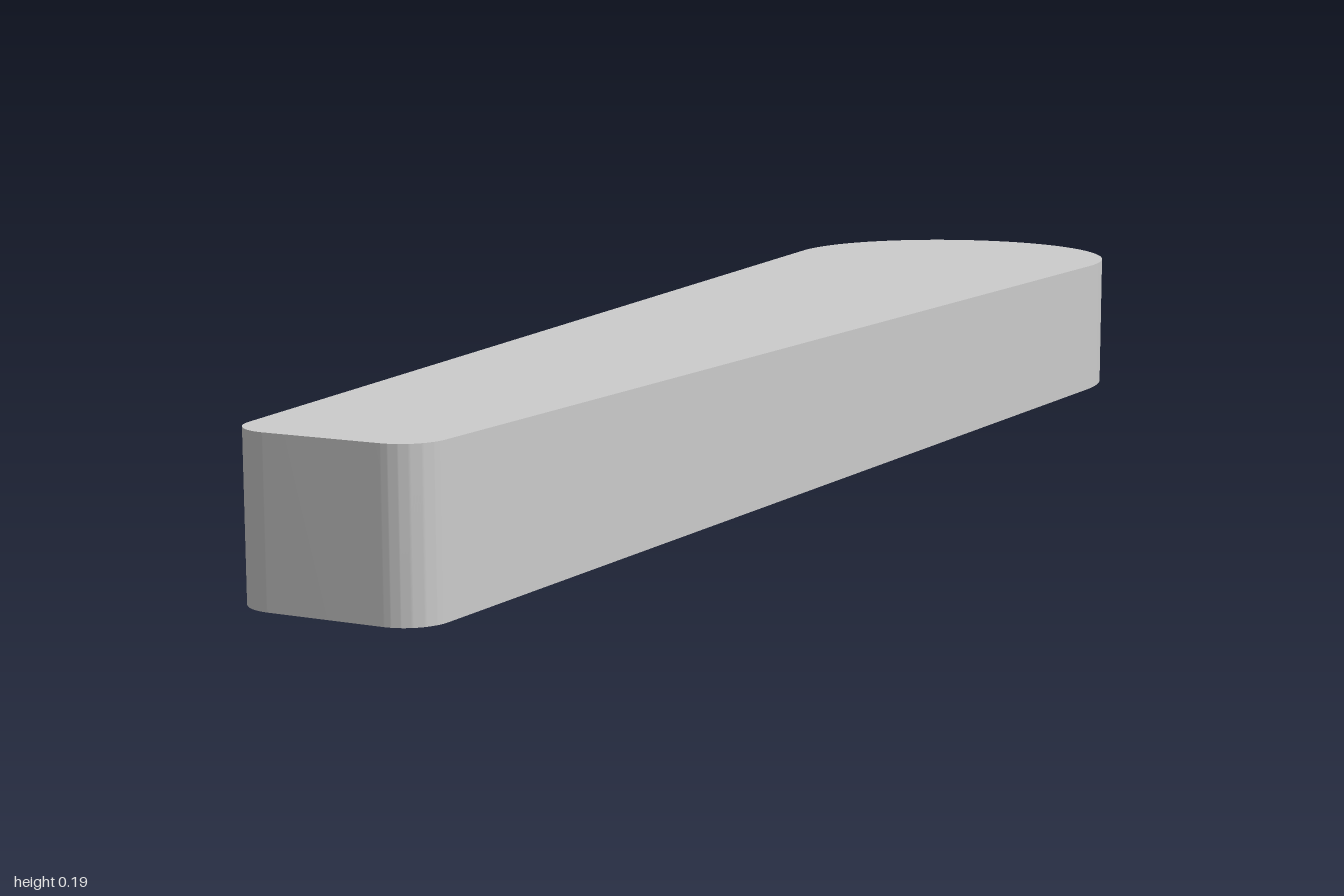
import * as THREE from 'three';
import { toCreasedNormals } from 'three/addons/utils/BufferGeometryUtils.js';

export function createModel() {
  const group = new THREE.Group();
  group.name = 'taperedLever';

  const height = 0.192;
  const backRadius = 0.242;
  const backCentre = 1 - backRadius; // distance behind the origin
  const cornerRadius = 0.05;
  const taper = 0.0707; // angle of each side, radians

  // Corner centre that keeps the front corners tangent to the sides
  const cornerZ = 1 - cornerRadius;
  const cornerX = (backRadius - cornerRadius - (backCentre + cornerZ) * Math.sin(taper)) / Math.cos(taper);

  // Plan outline: round back end, straight sides, small rounded front corners
  const outline = new THREE.Shape();
  outline.absarc(0, backCentre, backRadius, -taper, Math.PI + taper, false);
  outline.absarc(-cornerX, -cornerZ, cornerRadius, Math.PI + taper, Math.PI * 1.5, false);
  outline.absarc(cornerX, -cornerZ, cornerRadius, Math.PI * 1.5, Math.PI * 2 - taper, false);
  outline.closePath();

  // Extrude upwards, with the round end pointing to -z
  const geometry = new THREE.ExtrudeGeometry(outline, {
    depth: height, bevelEnabled: false, curveSegments: 24,
  });
  geometry.rotateX(-Math.PI / 2);

  const body = new THREE.Mesh(
    toCreasedNormals(geometry, Math.PI / 6),
    new THREE.MeshStandardMaterial({ color: 0xcccccc }),
  );
  body.name = 'leverBody';
  group.add(body);
  return group;
}
